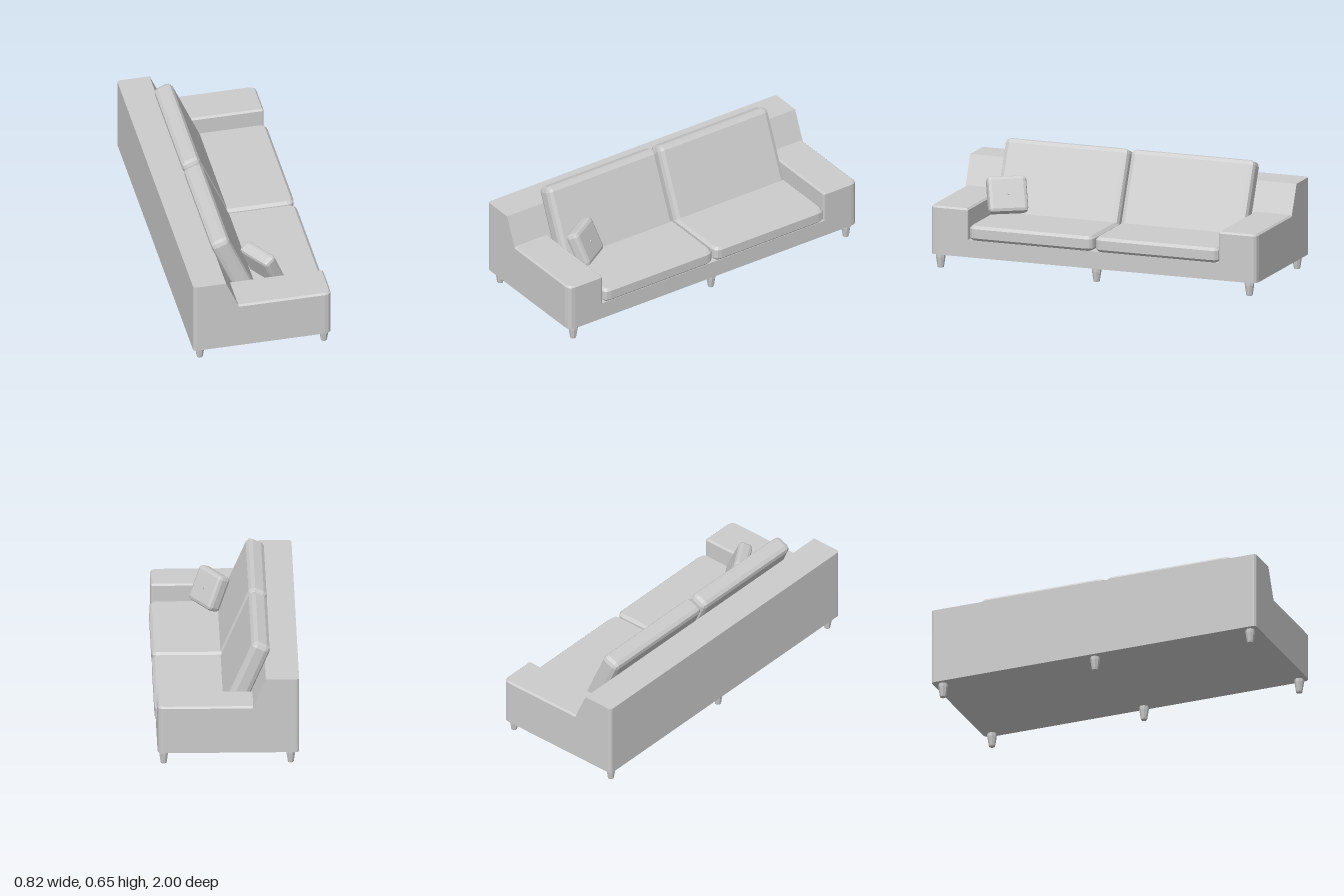
import * as THREE from 'three';
import { RoundedBoxGeometry } from 'three/addons/geometries/RoundedBoxGeometry.js';

const material = new THREE.MeshStandardMaterial({ color: 0xcccccc, flatShading: true });

// Backrest plane: x as a function of height
const slopeX = (y) => -0.07 - (y - 0.18) * 0.4286;
const LEAN = Math.atan(0.4286);

// Upright block from a plan rectangle with rounded corners.
// radii: (x0,z1), (x1,z1), (x1,z0), (x0,z0)
function slab(x0, x1, z0, z1, y0, y1, radii, bevel = 0) {
  const corners = [[x0, -z1], [x1, -z1], [x1, -z0], [x0, -z0]].map((c) => new THREE.Vector2(...c));
  const shape = new THREE.Shape();
  corners.forEach((c, i) => {
    const r = radii[i];
    const toward = (p) => c.clone().add(p.clone().sub(c).setLength(r));
    const a = toward(corners[(i + 3) % 4]);
    const b = toward(corners[(i + 1) % 4]);
    if (i === 0) shape.moveTo(a.x, a.y);
    else shape.lineTo(a.x, a.y);
    if (r > 0) shape.quadraticCurveTo(c.x, c.y, b.x, b.y);
  });
  shape.closePath();
  const geometry = new THREE.ExtrudeGeometry(shape, {
    depth: y1 - y0 - 2 * bevel, curveSegments: 3, bevelEnabled: bevel > 0,
    bevelThickness: bevel, bevelSize: bevel, bevelOffset: -bevel, bevelSegments: 1,
  });
  return geometry.rotateX(-Math.PI / 2).translate(0, y0 + bevel, 0);
}

// Moves the vertices chosen by pick onto the backrest plane
function slant(geometry, pick, offset = 0) {
  const p = geometry.attributes.position;
  for (let i = 0; i < p.count; i++) {
    if (pick(p.getX(i))) p.setX(i, slopeX(p.getY(i)) + offset);
  }
  geometry.computeVertexNormals();
  return geometry;
}

export function createModel() {
  const model = new THREE.Group();
  const add = (name, geometry, parent = model) => {
    const mesh = new THREE.Mesh(geometry, material);
    mesh.name = name;
    parent.add(mesh);
    return mesh;
  };

  // Frame: base, sloping back and two arms
  add('base', slab(-0.41, 0.395, -1, 1, 0.08, 0.18, [0.02, 0.04, 0.04, 0.02]));
  add('back', slant(slab(-0.41, -0.1, -1, 1, 0.18, 0.53, [0.02, 0, 0, 0.02]), (x) => x > -0.2));
  for (const side of [1, -1]) {
    const z = [0.768 * side, side].sort((a, b) => a - b);
    const radii = side > 0 ? [0, 0.04, 0.012, 0] : [0, 0.012, 0.04, 0];
    const arm = slab(-0.1, 0.395, z[0], z[1], 0.165, 0.363, radii, 0.01);
    add(side > 0 ? 'leftArm' : 'rightArm', slant(arm, (x) => x < 0, -0.01));
  }

  // Seat and back cushions
  for (const side of [1, -1]) {
    const label = side > 0 ? 'left' : 'right';
    const mid = side * 0.386 - 0.003;
    add(label + 'SeatCushion', slab(-0.09, 0.407, mid - 0.38, mid + 0.38, 0.18, 0.266,
      [0.02, 0.045, 0.045, 0.02], 0.016));

    const cushion = add(label + 'BackCushion', new RoundedBoxGeometry(0.112, 0.47, 0.76, 1, 0.03));
    const along = 0.438;
    const out = 0.063;
    cushion.position.set(
      out * Math.cos(LEAN) - along * Math.sin(LEAN),
      out * Math.sin(LEAN) + along * Math.cos(LEAN),
      mid,
    );
    cushion.rotation.z = LEAN;
  }

  // Loose pillow leaning back in the corner
  const pillow = new THREE.Group();
  pillow.name = 'pillow';
  pillow.position.set(0.065, 0.382, 0.66);
  pillow.rotation.set(0, 0.56, 0.42, 'YZX');
  add('pillowBody', new RoundedBoxGeometry(0.082, 0.212, 0.227, 1, 0.022), pillow);
  const button = add('pillowButton', new THREE.CylinderGeometry(0.007, 0.009, 0.004, 8), pillow);
  button.rotation.z = -Math.PI / 2;
  button.position.x = 0.042;
  model.add(pillow);

  // Six tapered legs with a short straight collar
  const legProfile = [[0, 0], [0.017, 0], [0.019, 0.008], [0.027, 0.06], [0.027, 0.085]]
    .map((p) => new THREE.Vector2(...p));
  const legGeometry = new THREE.LatheGeometry(legProfile, 8, Math.PI / 8);
  for (const x of [-0.363, 0.36]) {
    for (const z of [-0.945, -0.008, 0.948]) {
      add(x > 0 ? 'frontLeg' : 'backLeg', legGeometry).position.set(x, 0, z);
    }
  }
  return model;
}
